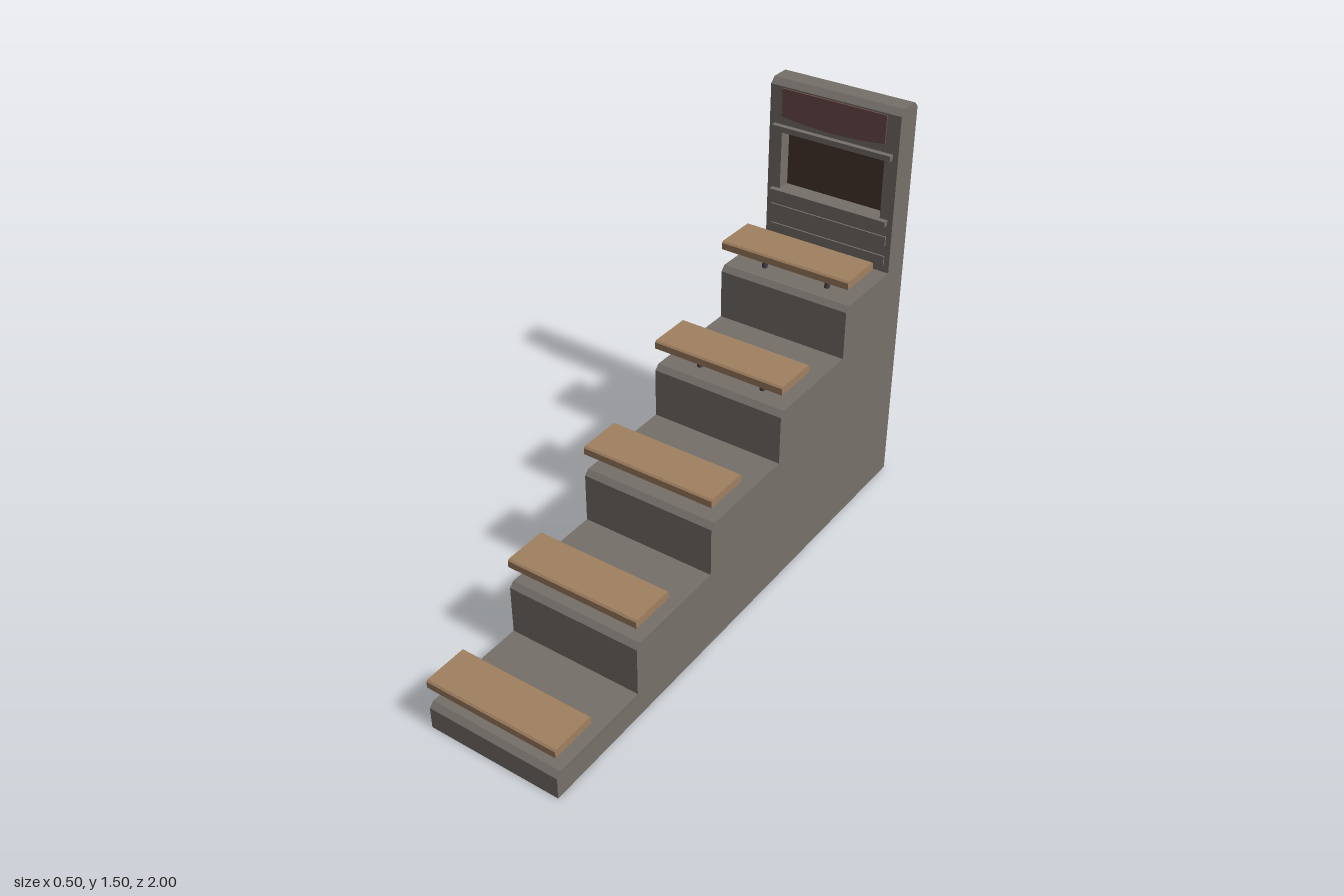
import * as THREE from 'three';

const flat = (name, color) => new THREE.MeshStandardMaterial({ name, color });

export function createModel() {
  const group = new THREE.Group();
  const concrete = flat('concrete', 0x76706a);
  const wood = flat('wood', 0xa08060);
  const metal = flat('darkMetal', 0x424248);
  const shutterBrown = flat('shutterBrown', 0x4a372e);
  const red = flat('signRed', 0x704c4c);

  const add = (name, geometry, material) => {
    const mesh = new THREE.Mesh(geometry, material);
    mesh.name = name;
    group.add(mesh);
    return mesh;
  };
  // Box given by its limits on each axis
  const box = (name, material, x0, x1, y0, y1, z0, z1) =>
    add(name, new THREE.BoxGeometry(x1 - x0, y1 - y0, z1 - z0)
      .translate((x0 + x1) / 2, (y0 + y1) / 2, (z0 + z1) / 2), material);
  // Side profile of [z, y] points, extruded across the width
  const slab = (name, material, points, width) => {
    const shape = new THREE.Shape(points.map(([z, y]) => new THREE.Vector2(z, y)));
    const geometry = new THREE.ExtrudeGeometry(shape, { depth: width, bevelEnabled: false });
    return add(name, geometry.rotateY(-Math.PI / 2).translate(width / 2, 0, 0), material);
  };

  const W = 0.5, back = -1, front = -0.89;
  const sill = 1.1, head = 1.32, top = 1.5, c = 0.018;

  // Stepped base and lower wall, with chamfered step noses
  const steps = [[back, 0], [1, 0]];
  for (let i = 0; i < 5; i++) {
    const z = 1 - i * 0.4, y = 0.1 + i * 0.2;
    steps.push([z, y - c], [z - c, y], [i < 4 ? z - 0.4 : front, y]);
  }
  steps.push([front, sill], [back, sill]);
  slab('steppedBase', concrete, steps, W);

  // Wall around the window opening
  for (const s of [-1, 1]) {
    const x = s * 0.225;
    box('windowJamb', concrete, x - 0.025, x + 0.025, sill, head, back, front);
  }
  slab('wallTop', concrete, [[back, head], [front, head], [front, top - 0.02],
    [front - 0.02, top], [back + 0.02, top], [back, top - 0.02]], W);
  box('windowShutter', shutterBrown, -0.2, 0.2, sill, head, -0.97, -0.94);

  // Ledges and raised bands on the wall front
  for (const y of [1.08, 1.322])
    box('wallLedge', concrete, -0.23, 0.23, y, y + 0.02, front - 0.005, -0.87);
  for (const y of [0.925, 1.0])
    box('wallBand', concrete, -0.23, 0.23, y, y + 0.037, front - 0.005, -0.884);

  // Sign panel with a slightly bowed lower edge
  const sign = new THREE.Shape();
  sign.moveTo(-0.2, 1.475);
  sign.lineTo(-0.2, 1.375);
  sign.quadraticCurveTo(0, 1.345, 0.2, 1.375);
  sign.lineTo(0.2, 1.475);
  add('signPanel', new THREE.ExtrudeGeometry(sign,
    { depth: 0.006, bevelEnabled: false, curveSegments: 8 }).translate(0, 0, front), red);

  // Bench on every step
  for (let i = 0; i < 5; i++) {
    const z = 1 - i * 0.4, y = 0.2 + i * 0.2, b = 0.006;
    slab('benchSeat', wood, [[z - 0.17, y - 0.03], [z, y - 0.03], [z, y - b],
      [z - b, y], [z - 0.17 + b, y], [z - 0.17, y - b]], W);
    for (const x of [-0.125, 0.125])
      add('benchLeg', new THREE.CylinderGeometry(0.01, 0.01, 0.07, 8)
        .translate(x, y - 0.065, z - 0.085), metal);
  }
  return group;
}
